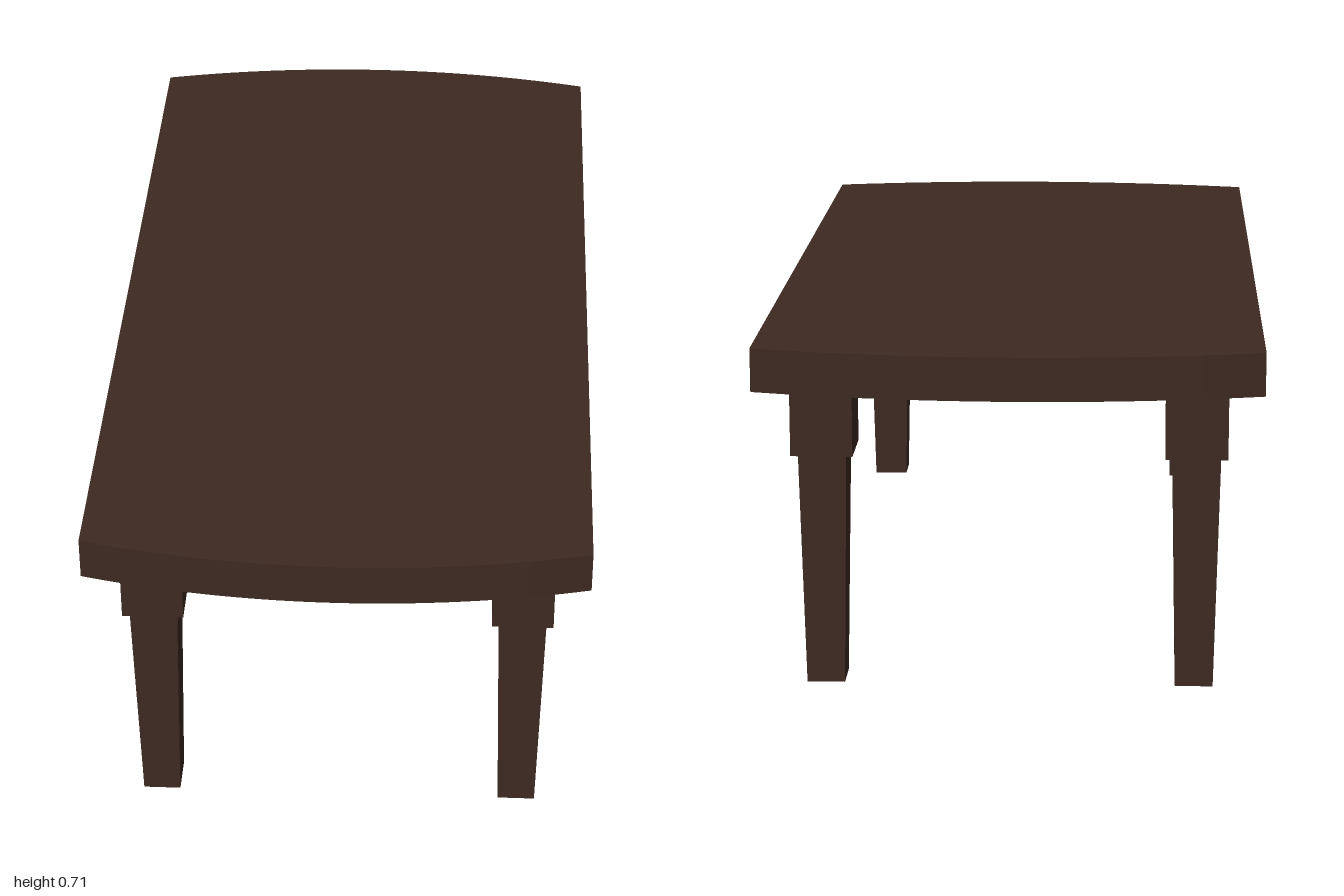
import * as THREE from 'three';

export function createModel() {
  const group = new THREE.Group();
  const wood = new THREE.MeshStandardMaterial({ color: 0x3e2a22 });
  wood.name = 'dark wood';

  const add = (parent, geometry, name, y) => {
    const mesh = new THREE.Mesh(geometry, wood);
    mesh.name = name;
    mesh.position.y = y;
    parent.add(mesh);
  };

  // Table top: straight long sides, gently bowed ends
  const halfWidth = 0.5, sag = 0.062, top = 0.707, under = 0.62;
  const radius = (halfWidth ** 2 + sag ** 2) / (2 * sag);
  const sweep = Math.asin(halfWidth / radius);
  const outline = new THREE.Shape();
  outline.absarc(0, 1 - radius, radius, Math.PI / 2 - sweep, Math.PI / 2 + sweep, false);
  outline.absarc(0, radius - 1, radius, 1.5 * Math.PI - sweep, 1.5 * Math.PI + sweep, false);
  outline.closePath();
  const slab = new THREE.ExtrudeGeometry(outline, {
    depth: top - under, bevelEnabled: false, curveSegments: 16,
  });
  slab.rotateX(-Math.PI / 2);
  add(group, slab, 'tableTop', under);

  // Tapered square leg, narrowing towards the floor
  const blockBottom = 0.476;
  const taperedLeg = new THREE.BoxGeometry(0.096, blockBottom, 0.104);
  const p = taperedLeg.attributes.position;
  for (let i = 0; i < p.count; i++) {
    if (p.getY(i) < 0) p.setXYZ(i, p.getX(i) * 0.79, p.getY(i), p.getZ(i) * 0.79);
  }
  taperedLeg.computeVertexNormals();
  const block = new THREE.BoxGeometry(0.123, under - blockBottom, 0.133);

  // Four legs, each with a wider block under the top
  for (const [side, sx] of [['Left', 1], ['Right', -1]]) {
    for (const [end, sz] of [['front', 1], ['back', -1]]) {
      const leg = new THREE.Group();
      leg.name = `${end}${side}Leg`;
      leg.position.set(sx * 0.37, 0, sz * 0.812);
      add(leg, taperedLeg, 'taperedLeg', blockBottom / 2);
      add(leg, block, 'legBlock', (under + blockBottom) / 2);
      group.add(leg);
    }
  }
  return group;
}
